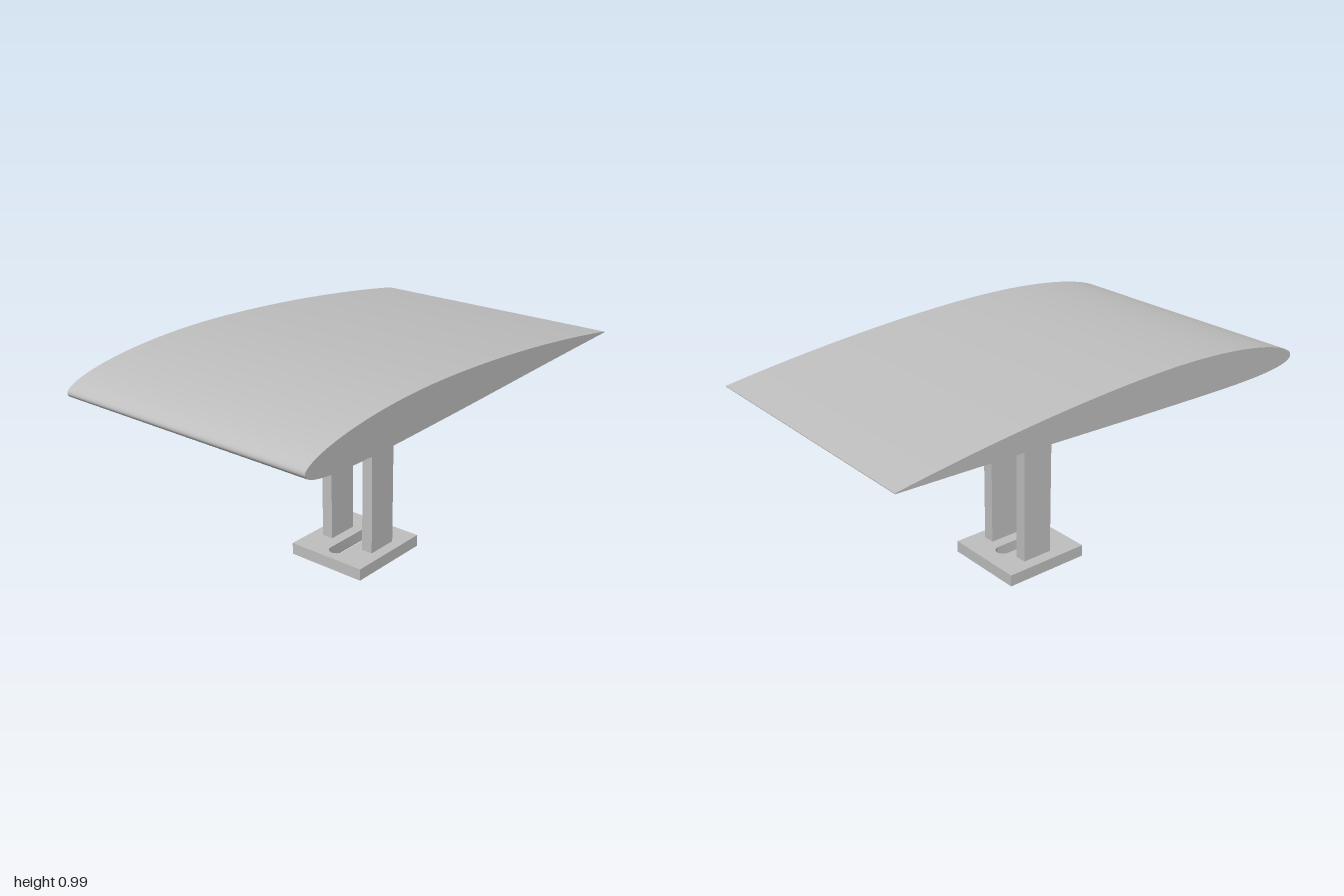
import * as THREE from 'three';
import { toCreasedNormals } from 'three/addons/utils/BufferGeometryUtils.js';

const PIVOT_Y = 0.682;

// Extrude a shape along z between two positions, smooth on curves and sharp on edges
function slab(shape, zMin, zMax) {
  const geo = new THREE.ExtrudeGeometry(shape, { depth: zMax - zMin, bevelEnabled: false, curveSegments: 40 });
  geo.translate(0, 0, zMin);
  return toCreasedNormals(geo, 0.5);
}

function circlePath(PathType, radius) {
  const path = new PathType();
  path.absarc(0, PIVOT_Y, radius, 0, Math.PI * 2, false);
  return path;
}

// Cambered wing section: half thickness added on either side of the mean line
function wingShape() {
  const chord = 2, thickness = 0.08, camber = 0.02, peak = 0.4, n = 60;
  const upper = [], lower = [];
  for (let i = 0; i <= n; i++) {
    const x = (1 - Math.cos((Math.PI * i) / n)) / 2;
    const half = 5 * thickness * (0.2969 * Math.sqrt(x) - 0.126 * x - 0.3516 * x ** 2 + 0.2843 * x ** 3 - 0.1015 * x ** 4);
    const k = camber / (x < peak ? peak ** 2 : (1 - peak) ** 2);
    const mean = x < peak ? k * (2 * peak * x - x * x) : k * (1 - 2 * peak + 2 * peak * x - x * x);
    const tilt = Math.atan(2 * k * (peak - x));
    const point = (s) => new THREE.Vector2(
      -1 + chord * (x - s * half * Math.sin(tilt)),
      0.872 - 0.003 * x + chord * (mean + s * half * Math.cos(tilt)));
    upper.push(point(1));
    if (i > 0) lower.push(point(-1));
  }
  return new THREE.Shape([...lower, ...upper.reverse()]);
}

// Upright with a round eye at its top
function uprightShape() {
  const r = 0.093, w = 0.072, a = Math.asin(w / r);
  const s = new THREE.Shape();
  s.moveTo(-w, 0.05);
  s.lineTo(w, 0.05);
  s.absarc(0, PIVOT_Y, r, -Math.PI / 2 + a, Math.PI * 1.5 - a, false);
  s.closePath();
  s.holes.push(circlePath(THREE.Path, 0.02));
  return s;
}

// Foot plate with a long adjusting slot, drawn flat
function footShape() {
  const s = new THREE.Shape();
  s.moveTo(-0.213, -0.188);
  s.lineTo(0.188, -0.188);
  s.lineTo(0.188, 0.188);
  s.lineTo(-0.213, 0.188);
  s.closePath();
  const r = 0.033, reach = 0.11, cx = -0.03;
  const slot = new THREE.Path();
  slot.absarc(cx + reach, 0, r, -Math.PI / 2, Math.PI / 2, false);
  slot.absarc(cx - reach, 0, r, Math.PI / 2, Math.PI * 1.5, false);
  slot.closePath();
  s.holes.push(slot);
  return s;
}

export function createModel() {
  const model = new THREE.Group();
  model.name = 'wingOnStand';
  const grey = new THREE.MeshStandardMaterial({ color: 0xbfbfbf });
  grey.name = 'plainGrey';

  const add = (name, geometry) => {
    const mesh = new THREE.Mesh(geometry, grey);
    mesh.name = name;
    model.add(mesh);
    return mesh;
  };

  // Wing
  add('wing', slab(wingShape(), -0.598, 0.598));

  // Stem joining the wing to the pivot barrel
  const stem = new THREE.BoxGeometry(0.083, 0.125, 0.106);
  stem.translate(-0.002, 0.7875, 0.002);
  add('stem', stem);

  // Pivot barrel with a bore through it
  const barrel = circlePath(THREE.Shape, 0.084);
  barrel.holes.push(circlePath(THREE.Path, 0.02));
  add('pivotBarrel', slab(barrel, -0.077, 0.081));

  // Two uprights either side of the barrel
  add('frontUpright', slab(uprightShape(), 0.086, 0.138));
  add('backUpright', slab(uprightShape(), -0.135, -0.083));

  // Slotted foot plate
  const foot = slab(footShape(), 0, 0.053);
  foot.rotateX(-Math.PI / 2);
  add('footPlate', foot);

  return model;
}
